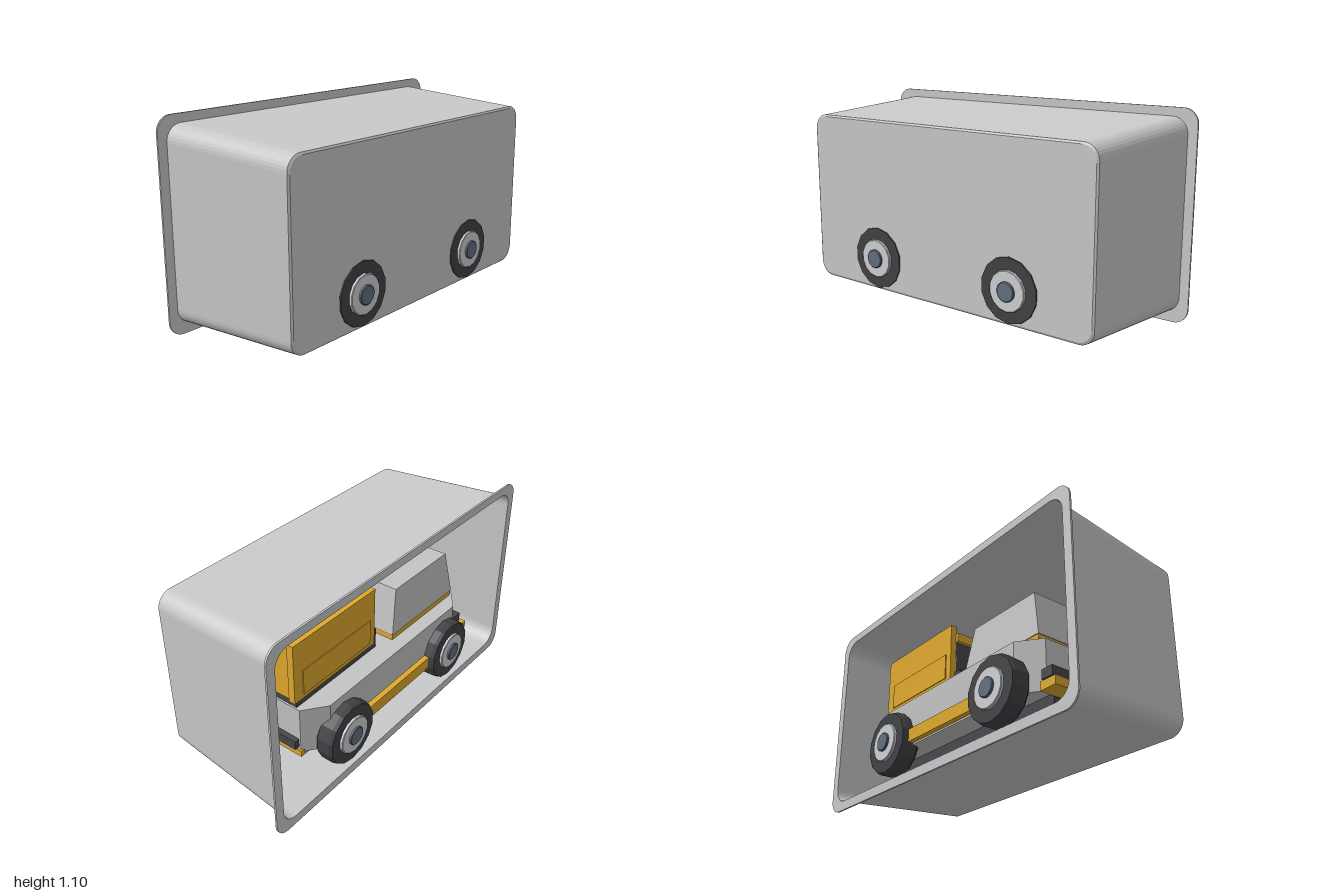
import * as THREE from 'three';

const mat = (name, color, side = THREE.FrontSide) => {
  const m = new THREE.MeshStandardMaterial({ color, side });
  m.name = name;
  return m;
};

// Rounded rectangle outline, centred on x, between two heights
function roundedRect(halfW, y0, y1, r, Type = THREE.Shape) {
  const s = new Type();
  s.absarc(halfW - r, y0 + r, r, -Math.PI / 2, 0);
  s.absarc(halfW - r, y1 - r, r, 0, Math.PI / 2);
  s.absarc(-halfW + r, y1 - r, r, Math.PI / 2, Math.PI);
  s.absarc(-halfW + r, y0 + r, r, Math.PI, Math.PI * 1.5);
  s.closePath();
  return s;
}

// Skin between outlines of equal point count, each at its own z
function loft(rings, segments) {
  const loops = rings.map(([shape, z]) => shape.getPoints(segments).map((p) => [p.x, p.y, z]));
  const pos = [];
  for (let k = 0; k < loops.length - 1; k++) {
    const a = loops[k], b = loops[k + 1], n = a.length;
    for (let i = 0; i < n; i++) {
      const j = (i + 1) % n;
      pos.push(...a[i], ...a[j], ...b[j], ...a[i], ...b[j], ...b[i]);
    }
  }
  const g = new THREE.BufferGeometry();
  g.setAttribute('position', new THREE.Float32BufferAttribute(pos, 3));
  g.computeVertexNormals();
  return g;
}

export function createModel() {
  const model = new THREE.Group();
  const plastic = mat('tray grey', 0xc8cacc, THREE.DoubleSide);
  const bodyGrey = mat('body grey', 0xc4c4c4);
  const yellow = mat('yellow', 0xe0aa2c);
  const black = mat('tyre black', 0x424246);
  const dark = mat('chassis dark grey', 0x48484c);
  const rimGrey = mat('rim grey', 0xcfd2d4);
  const hubBlue = mat('hub blue grey', 0x647080);

  const add = (name, geo, material, parent = model) => {
    const m = new THREE.Mesh(geo, material);
    m.name = name;
    parent.add(m);
    return m;
  };
  // Box given by its limits on each axis
  const box = (name, material, [x0, x1], [y0, y1], [z0, z1], parent) => {
    const g = new THREE.BoxGeometry(x1 - x0, y1 - y0, z1 - z0);
    g.translate((x0 + x1) / 2, (y0 + y1) / 2, (z0 + z1) / 2);
    return add(name, g, material, parent);
  };

  // Tray: tapered walls, closed front, flange round the open back
  const tray = new THREE.Group();
  tray.name = 'tray';
  model.add(tray);
  const base = roundedRect(0.9, 0.105, 1.0, 0.075);
  add('trayWalls', loft([
    [roundedRect(0.95, 0.052, 1.055, 0.085), -0.38],
    [roundedRect(0.91, 0.093, 1.01, 0.08), 0.378],
    [base, 0.385],
  ], 4), plastic, tray);
  add('trayFront', new THREE.ShapeGeometry(base, 4).translate(0, 0, 0.385), plastic, tray);
  const flangeShape = roundedRect(1, 0, 1.1, 0.08);
  flangeShape.holes.push(roundedRect(0.95, 0.052, 1.055, 0.085, THREE.Path));
  add('flange', new THREE.ExtrudeGeometry(flangeShape, { depth: 0.01, bevelEnabled: false, curveSegments: 6 })
    .translate(0, 0, -0.385), plastic, tray);

  // Truck, facing -x
  const truck = new THREE.Group();
  truck.name = 'truck';
  model.add(truck);

  // Body with chamfered corners in plan
  const plan = new THREE.Shape([
    [-0.66, -0.24], [-0.54, -0.33], [0.54, -0.33], [0.66, -0.24],
    [0.66, 0.24], [0.54, 0.33], [-0.54, 0.33], [-0.66, 0.24],
  ].map(([x, z]) => new THREE.Vector2(x, z)));
  const bodyGeo = new THREE.ExtrudeGeometry(plan, { depth: 0.265, bevelEnabled: false });
  bodyGeo.rotateX(-Math.PI / 2).translate(0, 0.22, 0);
  add('body', bodyGeo, bodyGrey, truck);

  // Cab narrowing toward the roof, on a yellow base plate
  box('cabBase', yellow, [-0.625, -0.07], [0.48, 0.535], [-0.25, 0.25], truck);
  const cab = new THREE.BoxGeometry(1, 1, 1);
  const p = cab.attributes.position;
  for (let i = 0; i < p.count; i++) {
    const top = p.getY(i) > 0, front = p.getX(i) < 0;
    const x = front ? (top ? -0.58 : -0.63) : (top ? -0.115 : -0.065);
    p.setXYZ(i, x, top ? 0.77 : 0.52, Math.sign(p.getZ(i)) * (top ? 0.23 : 0.255));
  }
  cab.computeVertexNormals();
  add('cab', cab, bodyGrey, truck);

  // Chassis and bumpers
  box('chassis', dark, [-0.66, 0.62], [0.17, 0.235], [-0.2, 0.2], truck);
  box('frontBumper', yellow, [-0.77, -0.67], [0.2, 0.245], [-0.29, 0.29], truck);
  box('frontBumperMount', dark, [-0.72, -0.6], [0.215, 0.24], [-0.2, 0.2], truck);
  box('frontBar', dark, [-0.73, -0.66], [0.265, 0.315], [-0.27, 0.27], truck);
  box('rearBumper', yellow, [0.58, 0.67], [0.2, 0.235], [-0.25, 0.25], truck);
  box('rearBar', dark, [0.64, 0.69], [0.25, 0.3], [-0.23, 0.23], truck);

  // Open load box on a dark bed
  box('bed', dark, [0.03, 0.65], [0.48, 0.6], [-0.215, 0.215], truck);
  box('loadFloor', yellow, [0.09, 0.66], [0.59, 0.62], [-0.21, 0.21], truck);
  box('loadRear', yellow, [0.64, 0.68], [0.55, 0.86], [-0.21, 0.21], truck);
  box('loadDivider', yellow, [0.42, 0.45], [0.6, 0.83], [-0.21, 0.21], truck);
  box('loadFrontWall', dark, [0.08, 0.11], [0.6, 0.78], [-0.21, 0.21], truck);
  box('loadFrontRail', yellow, [0.06, 0.19], [0.78, 0.83], [-0.21, 0.21], truck);

  // Wheel profile pieces as [radius, distance from the centre plane]
  const lathe = (pts, n) => new THREE.LatheGeometry(pts.map(([r, y]) => new THREE.Vector2(r, y)), n)
    .toNonIndexed();
  const wheelParts = [
    ['tyre', black, lathe([[0, 0.28], [0.15, 0.28], [0.172, 0.3], [0.172, 0.37], [0.165, 0.39], [0, 0.39]], 14)],
    ['rim', rimGrey, lathe([[0, 0.38], [0.104, 0.38], [0.104, 0.402], [0.1, 0.405], [0, 0.405]], 14)],
    ['hub', hubBlue, lathe([[0, 0.4], [0.05, 0.4], [0.05, 0.414], [0.046, 0.417], [0, 0.417]], 24)],
  ];
  wheelParts.forEach((w) => w[2].computeVertexNormals());

  for (const side of [-1, 1]) {
    const span = (a, b) => (side > 0 ? [a, b] : [-b, -a]);
    box('sill', yellow, [-0.4, 0.4], [0.23, 0.3], span(0.28, 0.36), truck);
    box('loadSide', yellow, [0.08, 0.69], [0.545, 0.875], span(0.205, 0.242), truck);
    box('loadSidePlate', yellow, [0.12, 0.63], [0.57, 0.71], span(0.24, 0.247), truck);
    for (const x of [-0.44, 0.44]) {
      const wheel = new THREE.Group();
      wheel.name = 'wheel';
      for (const [name, material, geo] of wheelParts) add(name, geo, material, wheel);
      wheel.rotation.x = side * Math.PI / 2;
      wheel.position.set(x, 0.267, 0);
      truck.add(wheel);
    }
  }
  return model;
}
